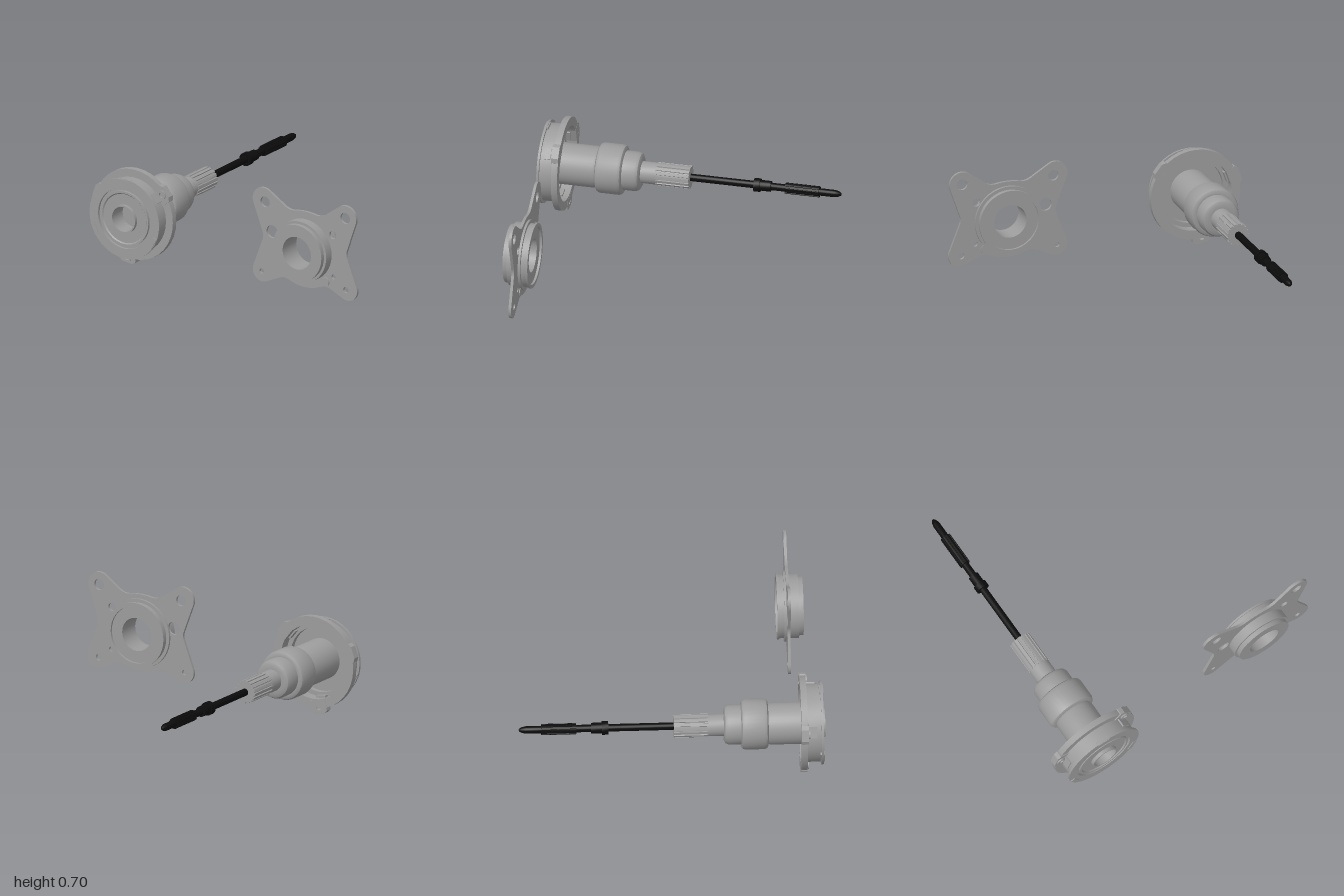
import * as THREE from 'three';
import { toCreasedNormals } from 'three/addons/utils/BufferGeometryUtils.js';

const steel = new THREE.MeshStandardMaterial({ color: 0x9c9c9c });
steel.name = 'grey metal';
const black = new THREE.MeshStandardMaterial({ color: 0x0c0c0c });
black.name = 'black rod';

const rad = (d) => (d * Math.PI) / 180;

function add(group, name, geometry, material) {
  const mesh = new THREE.Mesh(geometry, material);
  mesh.name = name;
  group.add(mesh);
  return mesh;
}

// Turned part along z from [radius, z] points, solid on the left of the path
function turned(points, segments = 36) {
  const g = new THREE.LatheGeometry(points.map(([r, z]) => new THREE.Vector2(r, z)), segments);
  g.rotateX(Math.PI / 2);
  return toCreasedNormals(g, 0.6);
}

// Flat shape pushed from z0 to z1
function slab(shape, z0, z1) {
  const g = new THREE.ExtrudeGeometry(shape, { depth: z1 - z0, bevelEnabled: false, curveSegments: 16 });
  g.translate(0, 0, z0);
  return toCreasedNormals(g, 0.5);
}

function hole(shape, x, y, r) {
  shape.holes.push(new THREE.Path().absarc(x, y, r, 0, Math.PI * 2, true));
}

// Cross-section with straight-sided teeth
function toothed(rOuter, rInner, teeth) {
  const pts = [];
  for (let i = 0; i < teeth; i++) {
    [[0, rOuter], [0.6, rOuter], [0.68, rInner], [0.92, rInner]].forEach(([f, r]) => {
      const a = ((i + f) / teeth) * Math.PI * 2;
      pts.push(new THREE.Vector2(Math.cos(a) * r, Math.sin(a) * r));
    });
  }
  return new THREE.Shape(pts);
}

function createShaftAssembly() {
  const group = new THREE.Group();
  group.name = 'shaftAssembly';
  group.position.set(-0.697, 0.335, 0);

  // Stepped neck, hollow bowl, flange and front face in one turning
  add(group, 'hubBody', turned([
    [0, 0.22], [0.071, 0.22], [0.071, 0.33],
    [0.1, 0.33], [0.118, 0.339], [0.128, 0.36], [0.128, 0.44],
    [0.14, 0.44], [0.156, 0.448], [0.163, 0.465], [0.163, 0.59], [0.156, 0.607], [0.14, 0.615],
    [0.13, 0.615], [0.135, 0.63], [0.135, 0.925],
    [0.215, 0.925], [0.215, 0.89], [0.245, 0.89], [0.245, 0.82], [0.305, 0.82], [0.305, 0.86],
    [0.252, 0.86], [0.252, 0.95], [0.27, 0.95], [0.27, 0.965],
    [0.203, 0.965], [0.203, 0.948], [0.186, 0.948], [0.186, 0.965], [0.172, 0.965], [0.165, 0.957],
    [0.094, 0.957], [0.094, 0.98], [0.084, 0.98], [0.084, 0.86], [0.02, 0.86], [0.02, 0.87], [0, 0.87],
  ]), steel);

  // Splined end
  add(group, 'splinedEnd', slab(toothed(0.075, 0.068, 16), 0.01, 0.23), steel);

  // Three bolt lugs on the flange with a support block behind each
  [[160, 0.285], [38.5, 0.286], [262, 0.3]].forEach(([deg, r]) => {
    const lug = new THREE.Group();
    lug.name = 'boltLug';
    lug.rotation.z = rad(deg);
    const s = new THREE.Shape();
    s.moveTo(r - 0.045, -0.062);
    s.lineTo(r + 0.02, -0.062);
    s.lineTo(r + 0.037, -0.038);
    s.lineTo(r + 0.037, 0.038);
    s.lineTo(r + 0.02, 0.062);
    s.lineTo(r - 0.045, 0.062);
    hole(s, r, 0, 0.017);
    add(lug, 'lugPlate', slab(s, 0.819, 0.866), steel);
    const collar = new THREE.Shape().absarc(r, 0, 0.03, 0, Math.PI * 2, false);
    hole(collar, r, 0, 0.017);
    add(lug, 'lugCollar', slab(collar, 0.86, 0.875), steel);
    const block = add(lug, 'supportBlock', new THREE.BoxGeometry(0.03, 0.07, 0.065), steel);
    block.position.set(0.245, 0, 0.89);
    group.add(lug);
  });

  // Small clips around the front rim
  [90, 205, 330].forEach((deg) => {
    const clip = add(group, 'rimClip', new THREE.BoxGeometry(0.03, 0.085, 0.028), steel);
    clip.position.set(Math.cos(rad(deg)) * 0.25, Math.sin(rad(deg)) * 0.25, 0.956);
    clip.rotation.z = rad(deg);
  });

  // Long rod with collars and pointed tip
  add(group, 'rod', turned([
    [0, -0.985], [0.009, -0.981], [0.018, -0.965], [0.024, -0.94], [0.024, -0.52],
    [0.035, -0.52], [0.035, -0.45], [0.044, -0.45], [0.044, -0.41],
    [0.024, -0.41], [0.024, 0.05], [0, 0.05],
  ], 20), black);
  add(group, 'rodSpline', slab(toothed(0.036, 0.031, 14), -0.84, -0.615), black);
  return group;
}

function createMountingPlate() {
  const group = new THREE.Group();
  group.name = 'mountingPlate';
  group.position.set(0.593, 0.337, 0);

  // Four-lobed plate outline
  const s = new THREE.Shape();
  s.absarc(0.313, 0.273, 0.084, rad(-18), rad(122), false);
  s.lineTo(0.16, 0.267);
  s.quadraticCurveTo(0.12, 0.24, 0.075, 0.25);
  s.quadraticCurveTo(0, 0.264, -0.075, 0.25);
  s.quadraticCurveTo(-0.12, 0.24, -0.16, 0.267);
  s.absarc(-0.323, 0.273, 0.082, rad(58), rad(200), false);
  s.lineTo(-0.33, 0.06);
  s.quadraticCurveTo(-0.318, 0.032, -0.33, 0.0);
  s.absarc(-0.329, -0.209, 0.075, rad(160), rad(292), false);
  s.lineTo(-0.19, -0.228);
  s.quadraticCurveTo(-0.16, -0.215, -0.12, -0.232);
  s.quadraticCurveTo(0, -0.282, 0.12, -0.232);
  s.quadraticCurveTo(0.16, -0.215, 0.19, -0.228);
  s.absarc(0.329, -0.209, 0.075, rad(248), rad(380), false);
  s.lineTo(0.328, 0.0);
  s.quadraticCurveTo(0.315, 0.032, 0.328, 0.06);
  s.closePath();
  hole(s, 0, 0, 0.16);
  [
    [-0.308, 0.262, 0.036], [0.313, 0.273, 0.037], [-0.334, -0.214, 0.017], [0.318, -0.214, 0.021],
    [-0.254, 0.07, 0.043], [0.216, 0.139, 0.027], [0.222, -0.144, 0.016],
  ].forEach(([x, y, r]) => hole(s, x, y, r));
  add(group, 'plate', slab(s, 0.785, 0.803), steel);

  // Stepped bearing hub with a through bore
  add(group, 'hub', turned([
    [0.11, 0.74], [0.188, 0.74], [0.188, 0.725], [0.213, 0.725], [0.213, 0.737], [0.206, 0.737],
    [0.206, 0.77], [0.228, 0.77], [0.228, 0.786], [0.207, 0.786],
    [0.207, 0.865], [0.19, 0.865], [0.19, 0.895], [0.11, 0.895], [0.11, 0.74],
  ], 40), steel);

  // Raised button on the plate
  const button = new THREE.Shape().absarc(0.16, -0.187, 0.03, 0, Math.PI * 2, false);
  add(group, 'button', slab(button, 0.78, 0.811), steel);
  return group;
}

export function createModel() {
  const model = new THREE.Group();
  model.name = 'hubAndMountingPlate';
  model.add(createShaftAssembly(), createMountingPlate());
  return model;
}
